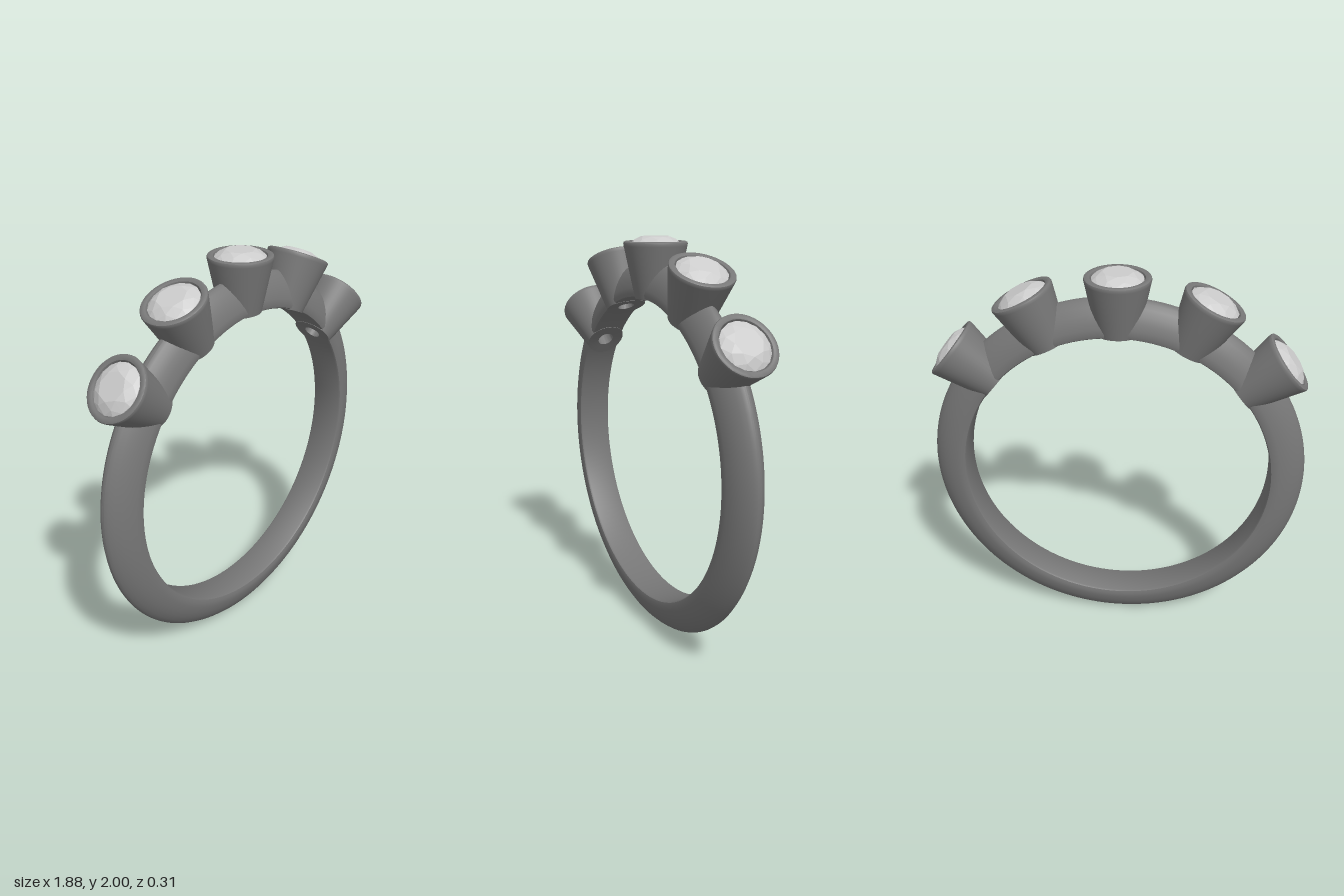
import * as THREE from 'three';
import { toCreasedNormals } from 'three/addons/utils/BufferGeometryUtils.js';
import { ConvexGeometry } from 'three/addons/geometries/ConvexGeometry.js';

const CENTRE_Y = 0.94;
const INNER_R = 0.768;
const SETTING_ANGLES = [-51, -25.5, 0, 25.5, 51].map(THREE.MathUtils.degToRad);

const metal = new THREE.MeshStandardMaterial({ color: 0x777777 });
const gem = new THREE.MeshStandardMaterial({ color: 0xcccccc, flatShading: true });

const points = list => list.map(([x, y]) => new THREE.Vector2(x, y));

// Arc of the shank, swept from angle a to b (measured from the bottom of the ring)
function bandArc(a, b) {
  // half of the pointed arch section: [radius, half width], side to ridge
  const side = [[INNER_R, 0.078], [0.773, 0.086], [0.79, 0.09], [0.815, 0.087], [0.85, 0.077],
    [0.88, 0.063], [0.91, 0.043], [0.928, 0.024], [0.938, 0.009]];
  const section = [
    ...side.map(([r, z]) => [r, -z]),
    [0.94, 0],
    ...side.slice().reverse(),
    [INNER_R, -0.078],
  ];
  const segments = Math.max(8, Math.ceil((b - a) * 24));
  const geometry = new THREE.LatheGeometry(points(section), segments, a, b - a);
  geometry.rotateX(Math.PI / 2);
  return toCreasedNormals(geometry, 0.6);
}

// Tapered cup with a rounded rim, a stone seat and a bore through the shank
function settingGeometry() {
  const bottom = 0.766;
  const profile = [
    [0.1, bottom], [0.153, 1.015], [0.155, 1.026], [0.153, 1.033], [0.147, 1.037],
    [0.133, 1.037], [0.126, 1.034], [0.122, 1.026], [0.118, 1.0],
    [0.042, 0.945], [0.042, bottom], [0.1, bottom],
  ];
  const geometry = new THREE.LatheGeometry(points(profile), 48);
  // curve the underside to follow the inside of the ring
  const p = geometry.attributes.position;
  for (let i = 0; i < p.count; i++) {
    if (p.getY(i) < 0.77) p.setY(i, Math.sqrt(bottom ** 2 - p.getX(i) ** 2));
  }
  return toCreasedNormals(geometry, 0.6);
}

// Round faceted stone: table, crown, girdle and pavilion
function stoneGeometry() {
  const rings = [
    // radius, height, corners, twist in corner steps
    [0.07, 1.06, 8, 0],
    [0.1, 1.046, 8, 0.5],
    [0.121, 1.029, 16, 0],
    [0.121, 1.022, 16, 0],
    [0.07, 0.985, 8, 0.5],
  ];
  const corners = [new THREE.Vector3(0, 0.95, 0)];
  for (const [r, y, n, twist] of rings) {
    for (let i = 0; i < n; i++) {
      const t = ((i + twist) / n) * Math.PI * 2;
      corners.push(new THREE.Vector3(r * Math.cos(t), y, r * Math.sin(t)));
    }
  }
  return new ConvexGeometry(corners);
}

export function createModel() {
  const model = new THREE.Group();
  model.name = 'ring';
  const ring = new THREE.Group();
  ring.position.y = CENTRE_Y;
  model.add(ring);

  const add = (parent, name, geometry, material) => {
    const mesh = new THREE.Mesh(geometry, material);
    mesh.name = name;
    parent.add(mesh);
  };

  // Shank, interrupted inside each setting so that the bores stay open
  const gap = 0.06;
  const last = SETTING_ANGLES.length - 1;
  const reach = Math.PI - SETTING_ANGLES[last] - gap;
  add(ring, 'shank', bandArc(-reach, reach), metal);
  for (let i = 0; i < last; i++) {
    const from = Math.PI + SETTING_ANGLES[i] + gap;
    const to = Math.PI + SETTING_ANGLES[i + 1] - gap;
    add(ring, 'shankBridge', bandArc(from, to), metal);
  }

  // Five settings with stones, fanned over the top
  const cup = settingGeometry();
  const stone = stoneGeometry();
  for (const angle of SETTING_ANGLES) {
    const setting = new THREE.Group();
    setting.name = 'setting';
    setting.rotation.z = -angle;
    add(setting, 'cup', cup, metal);
    add(setting, 'stone', stone, gem);
    ring.add(setting);
  }
  return model;
}
